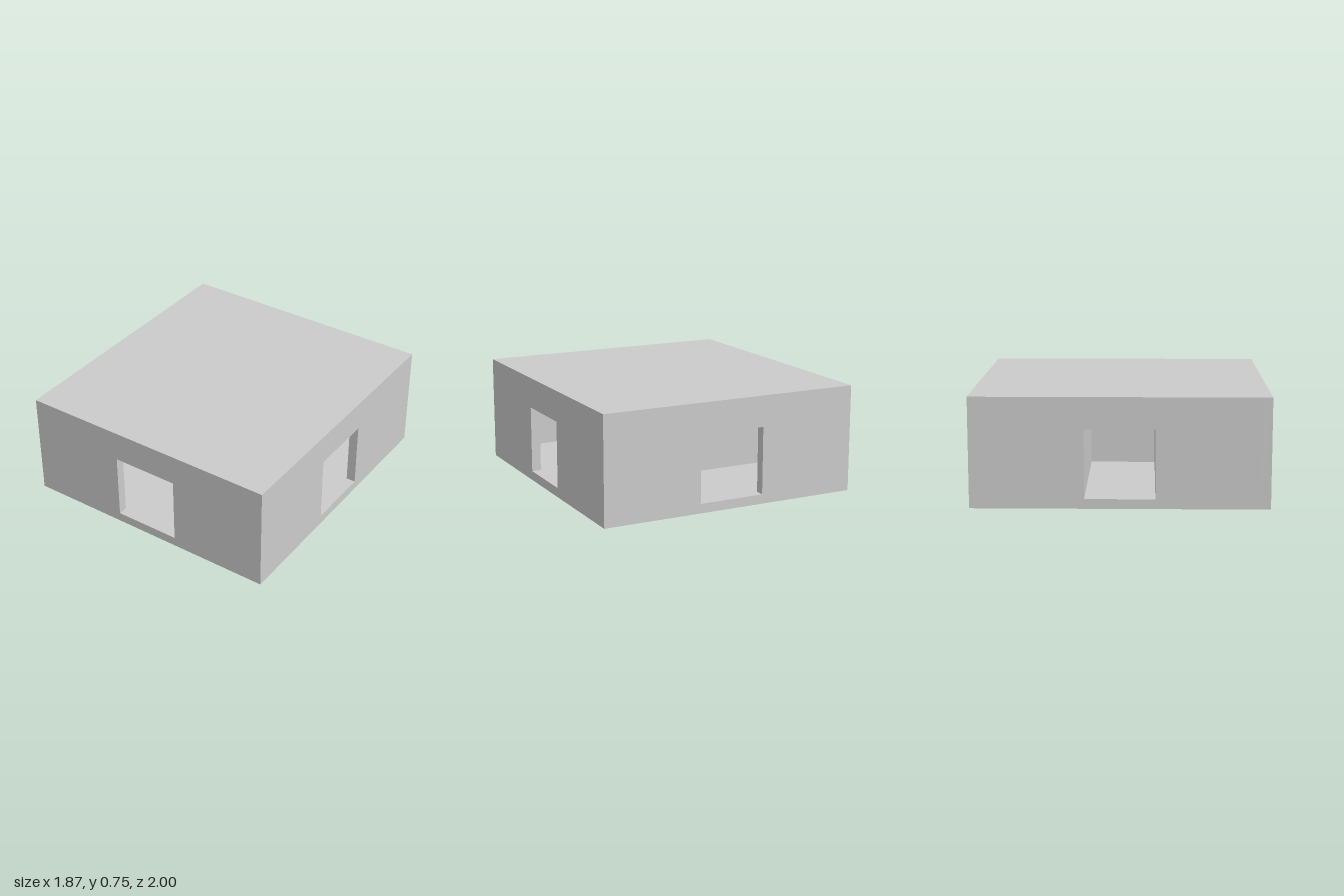
import * as THREE from 'three';

const W = 1.87, H = 0.75, D = 2;       // outer size
const T = 0.066;                       // thickness of walls and slabs
const HALF = 0.236, TOP = 0.535;       // opening half width and top

const material = new THREE.MeshStandardMaterial({ color: 0xcccccc, flatShading: true });

function add(group, name, geometry, x, y, z, turn = 0) {
  const mesh = new THREE.Mesh(geometry, material);
  mesh.name = name;
  mesh.position.set(x, y, z);
  mesh.rotation.y = turn;
  group.add(mesh);
}

// Upright wall panel with a square opening, centred on x and z
function wallWithOpening(width) {
  const w = width / 2;
  const shape = new THREE.Shape();
  shape.moveTo(-w, 0).lineTo(w, 0).lineTo(w, H).lineTo(-w, H).closePath();
  const hole = new THREE.Path();
  hole.moveTo(-HALF, T).lineTo(-HALF, TOP).lineTo(HALF, TOP).lineTo(HALF, T).closePath();
  shape.holes.push(hole);
  return new THREE.ExtrudeGeometry(shape, { depth: T, bevelEnabled: false }).translate(0, 0, -T / 2);
}

export function createModel() {
  const model = new THREE.Group();
  model.name = 'shelter';
  const innerW = W - 2 * T, innerD = D - 2 * T, innerH = H - 2 * T;

  // Outer walls, each with an opening
  for (const s of [1, -1]) {
    add(model, s > 0 ? 'frontWall' : 'backWall', wallWithOpening(W), 0, 0, s * (D - T) / 2);
    add(model, s > 0 ? 'leftWall' : 'rightWall', wallWithOpening(innerD), s * (W - T) / 2, 0, 0, Math.PI / 2);
  }

  // Floor and roof slabs
  const slab = new THREE.BoxGeometry(innerW, T, innerD);
  add(model, 'floor', slab, 0, T / 2, 0);
  add(model, 'roof', slab, 0, H - T / 2, 0);

  // Inner chamber reached from the -x opening: two long partitions and an end partition
  const x0 = -W / 2 + T, x1 = HALF + T;
  for (const s of [1, -1]) {
    add(model, s > 0 ? 'frontPartition' : 'backPartition',
      new THREE.BoxGeometry(x1 - x0, innerH, T), (x0 + x1) / 2, H / 2, s * (HALF + T / 2));
  }
  add(model, 'endPartition', new THREE.BoxGeometry(T, innerH, 2 * HALF), HALF + T / 2, H / 2, 0);

  return model;
}
